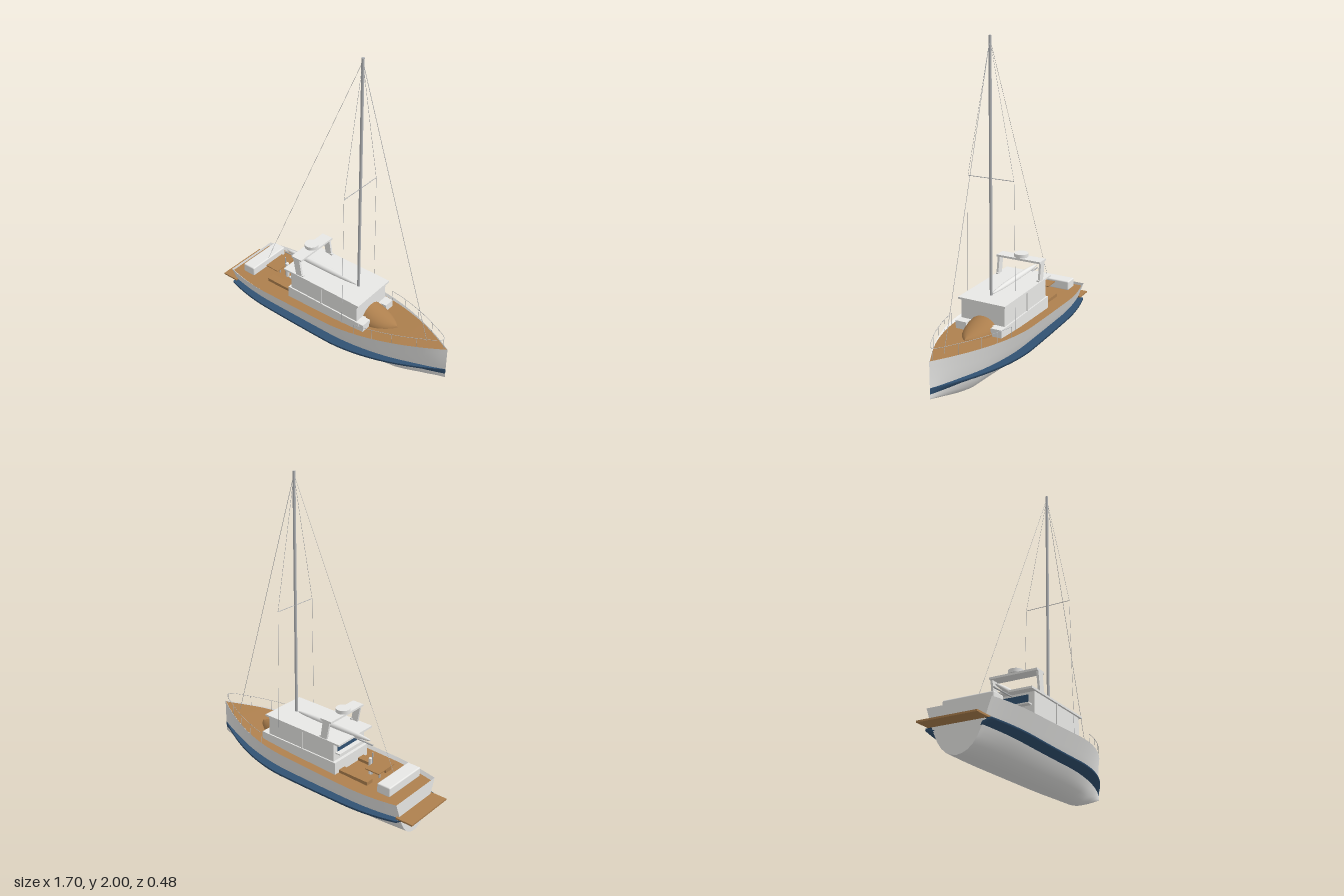
import * as THREE from 'three';
import { RoundedBoxGeometry } from 'three/addons/geometries/RoundedBoxGeometry.js';

const mat = (name, color) => {
  const m = new THREE.MeshStandardMaterial({ color, side: THREE.DoubleSide });
  m.name = name;
  return m;
};

// Hull lines as functions of x (bow at +x)
const STERN = -0.75, BOW = 0.845;
const halfWidth = x => x > 0.1 ? 0.238 * (1 - ((x - 0.1) / (BOW - 0.1)) ** 1.85)
  : x < -0.4 ? 0.238 - 0.045 * ((-0.4 - x) / 0.35) ** 2 : 0.238;
const sheer = x => 0.266 + 0.059 * ((x - STERN) / (BOW - STERN)) ** 1.6;
const keel = x => x > 0.5 ? 0.1 * ((x - 0.5) / (BOW - 0.5)) ** 1.2 : 0;
// The bulwark fades out towards the bow
const bulwark = x => 0.004 + 0.012 * THREE.MathUtils.clamp((0.6 - x) / 0.5, 0, 1);
const deckWidth = x => Math.max(0, halfWidth(x) - bulwark(x));
const deckHeight = x => sheer(x) - bulwark(x) * 1.2;

// Skin a surface through rows of [x, y, z] points
function loft(rows) {
  const n = rows[0].length, index = [];
  for (let i = 0; i < rows.length - 1; i++) {
    for (let j = 0; j < n - 1; j++) {
      const a = i * n + j, b = a + n;
      index.push(a, b, a + 1, b, b + 1, a + 1);
    }
  }
  const g = new THREE.BufferGeometry();
  g.setAttribute('position', new THREE.Float32BufferAttribute(rows.flat(2), 3));
  g.setIndex(index);
  g.computeVertexNormals();
  return g;
}

export function createModel() {
  const boat = new THREE.Group();
  boat.name = 'motorSailer';
  const white = mat('white', 0xe8e8e6);
  const teak = mat('teak', 0xae804e);
  const navy = mat('navy', 0x315273);
  const metal = mat('metal', 0xb6b8ba);

  const add = (name, geo, m, x = 0, y = 0, z = 0) => {
    const mesh = new THREE.Mesh(geo, m);
    mesh.name = name;
    mesh.position.set(x, y, z);
    boat.add(mesh);
    return mesh;
  };
  // Box given by its limits
  const box = (name, m, x0, x1, y0, y1, z0, z1) =>
    add(name, new THREE.BoxGeometry(x1 - x0, y1 - y0, z1 - z0), m, (x0 + x1) / 2, (y0 + y1) / 2, (z0 + z1) / 2);
  // Straight rod between two points
  const rod = (name, m, a, b, r, sides = 6) => {
    const p = new THREE.Vector3(...a), q = new THREE.Vector3(...b), d = q.clone().sub(p);
    const mesh = add(name, new THREE.CylinderGeometry(r, r, d.length(), sides), m);
    mesh.position.copy(p).add(q).multiplyScalar(0.5);
    mesh.quaternion.setFromUnitVectors(new THREE.Vector3(0, 1, 0), d.normalize());
  };

  const stations = Array.from({ length: 49 }, (_, i) => STERN + (BOW - STERN) * i / 48);

  // Hull shell: [width share, height share] from sheer down to keel
  const half = [[1, 1], [0.93, 0.86], [0.86, 0.72], [0.79, 0.58], [0.71, 0.45], [0.6, 0.29],
    [0.47, 0.16], [0.32, 0.07], [0.16, 0.02]];
  const profile = [...half, [0, 0], ...half.map(([w, h]) => [-w, h]).reverse()];
  const section = x => profile.map(([w, h]) => [x, keel(x) + h * (sheer(x) - keel(x)), w * halfWidth(x)]);
  add('hull', loft(stations.map(section)), white);
  const stern = section(STERN);
  add('transom', loft([stern, stern.map(([x, y]) => [x, y, 0])]), white);

  // Deck with a low sloping bulwark around it
  add('deck', loft(stations.map(x => [[x, deckHeight(x), -deckWidth(x)], [x, deckHeight(x), deckWidth(x)]])), teak);
  for (const s of [1, -1]) {
    add('bulwark', loft(stations.map(x => [[x, sheer(x), s * halfWidth(x)],
      [x, deckHeight(x), s * deckWidth(x)]])), white);
  }

  // Rubbing strake: flat on top, its rounded face curving down and in to the hull
  const strakeTop = x => 0.145 + 0.02 * (x / BOW) ** 2;
  const strakeFoot = x => 0.12 + 0.008 * (x / BOW) ** 2;
  for (const s of [1, -1]) {
    const face = stations.map(x => {
      const w = s * halfWidth(x);
      return [[x, strakeFoot(x), w * 0.68], [x, strakeTop(x) - 0.012, w], [x, strakeTop(x), w]];
    });
    face.unshift(face[0].map(() => [STERN, 0.148, s * 0.14]));
    add('rubbingStrake', loft(face), navy);
    add('rubbingStrakeTop', loft(stations.map(x => [[x, strakeTop(x), s * halfWidth(x)],
      [x, strakeTop(x), s * halfWidth(x) * 0.7]])), navy);
  }
  box('swimPlatform', teak, -0.85, -0.735, 0.161, 0.171, -0.177, 0.177);

  // Deckhouse
  box('cabinBase', white, -0.27, 0.3, 0.25, 0.335, -0.157, 0.157);
  box('wheelhouse', white, -0.25, 0.28, 0.335, 0.459, -0.148, 0.148);
  box('cabinRoof', white, -0.3, 0.3, 0.459, 0.471, -0.16, 0.16);
  box('aftWindow', navy, -0.253, -0.249, 0.39, 0.445, -0.11, 0.11);
  box('aftSill', white, -0.285, -0.25, 0.382, 0.39, -0.13, 0.13);
  for (const s of [1, -1]) {
    box('sidePillar', white, -0.006, 0.006, 0.335, 0.459, s * 0.15 - 0.004, s * 0.15 + 0.004);
    box('frontCorner', white, 0.28, 0.335, 0.265, 0.335, s * 0.12 - 0.036, s * 0.12 + 0.036);
  }

  // Rounded fore hatch sloping down to the deck
  const hatchRows = Array.from({ length: 15 }, (_, i) => {
    const u = i / 14, w = 0.1 * (1 - u * u) ** 0.75, h = 0.094 - 0.07 * u;
    return Array.from({ length: 17 }, (_, j) => {
      const a = Math.PI * j / 16;
      return [0.28 + 0.205 * u, 0.28 + h * Math.sin(a), w * Math.cos(a)];
    });
  });
  add('foreHatch', loft(hatchRows), teak);

  // Radar arch and radome
  const leg = new THREE.Shape([[-0.2, 0.47], [-0.153, 0.47], [-0.172, 0.59], [-0.222, 0.59]]
    .map(p => new THREE.Vector2(...p)));
  for (const s of [1, -1]) {
    add('archLeg', new THREE.ExtrudeGeometry(leg, { depth: 0.014, bevelEnabled: false }), white, 0, 0, s * 0.148 - 0.007);
    box('archFoot', white, -0.165, -0.145, 0.471, 0.48, s * 0.145 - 0.008, s * 0.145 + 0.008);
  }
  box('archTop', white, -0.235, -0.155, 0.586, 0.599, -0.155, 0.155);
  add('radome', new THREE.CylinderGeometry(0.045, 0.045, 0.023, 32), white, -0.199, 0.611, 0);

  // Mast, boom and furled sail
  rod('mast', metal, [0.18, 0.27, 0], [0.18, 2, 0], 0.009, 16);
  rod('boom', metal, [-0.43, 0.45, 0], [0.18, 0.463, 0], 0.005, 10);
  const sail = add('furledSail', new THREE.SphereGeometry(1, 32, 16), white, -0.125, 0.475, 0);
  sail.scale.set(0.29, 0.02, 0.02);

  // Standing rigging
  const top = [0.18, 1.98, 0];
  rod('forestay', metal, top, [0.7, 0.31, 0], 0.0015);
  rod('backstay', metal, top, [-0.59, 0.32, 0], 0.001);
  rod('spreader', metal, [0.18, 1.19, -0.153], [0.18, 1.19, 0.153], 0.0022);
  for (const s of [1, -1]) {
    rod('upperShroud', metal, top, [0.18, 1.19, s * 0.153], 0.001);
    rod('lowerShroud', metal, [0.18, 1.19, s * 0.153], [0.18, 0.28, s * 0.168], 0.001);
  }

  // Bow rail on posts
  const railPoint = (x, s) => new THREE.Vector3(x, 0.357 + 0.033 * (x - 0.3) / 0.515, s * deckWidth(x));
  const postX = [0.3, 0.42, 0.54, 0.68];
  const path = [...postX.map(x => railPoint(x, 1)), railPoint(0.815, 0),
    ...postX.map(x => railPoint(x, -1)).reverse()];
  add('bowRail', new THREE.TubeGeometry(new THREE.CatmullRomCurve3(path), 64, 0.0014, 6), metal);
  for (const p of path) rod('railPost', metal, [p.x, deckHeight(p.x), p.z], [p.x, p.y, p.z], 0.0013);

  // Cockpit: benches, table, helm and stern locker
  for (const s of [1, -1]) {
    box('bench', teak, -0.485, -0.27, 0.25, 0.273, s * 0.093 - 0.027, s * 0.093 + 0.027);
  }
  box('table', teak, -0.537, -0.435, 0.325, 0.331, -0.078, 0.078);
  rod('tableLeg', metal, [-0.485, 0.25, 0], [-0.485, 0.326, 0], 0.006, 12);
  rod('helmPedestal', white, [-0.417, 0.25, 0], [-0.417, 0.358, 0], 0.012, 16);
  rod('helmPost', metal, [-0.431, 0.25, 0], [-0.431, 0.4, 0], 0.004, 10);
  add('sternLocker', new RoundedBoxGeometry(0.092, 0.062, 0.31, 3, 0.008), white, -0.627, 0.295, 0);

  return boat;
}
